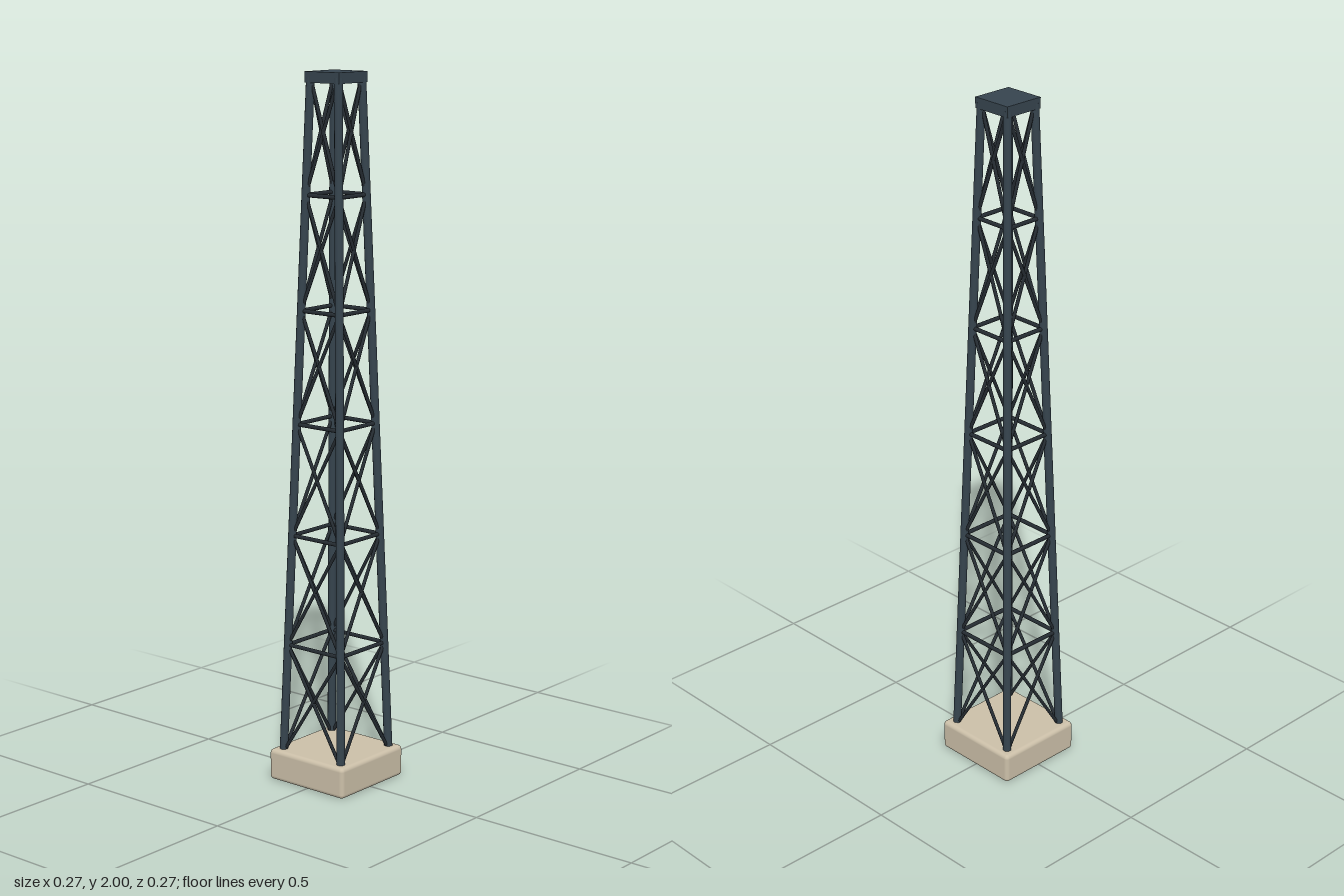
import * as THREE from 'three';
import { RoundedBoxGeometry } from 'three/addons/geometries/RoundedBoxGeometry.js';

const Y0 = 0.08, Y1 = 1.985, BAYS = 6;
const HALF_BOTTOM = 0.106, HALF_TOP = 0.049;

// Cylinder running between two points
function strut(name, a, b, radius, sides, material) {
  const dir = b.clone().sub(a);
  const mesh = new THREE.Mesh(new THREE.CylinderGeometry(radius, radius, dir.length(), sides), material);
  mesh.position.copy(a).add(b).multiplyScalar(0.5);
  mesh.quaternion.setFromUnitVectors(new THREE.Vector3(0, 1, 0), dir.normalize());
  mesh.name = name;
  return mesh;
}

export function createModel() {
  const steel = new THREE.MeshStandardMaterial({ color: 0x36444e });
  steel.name = 'slate steel';
  const darkSteel = new THREE.MeshStandardMaterial({ color: 0x252c32 });
  darkSteel.name = 'dark steel';
  const concrete = new THREE.MeshStandardMaterial({ color: 0xcbbfa8 });
  concrete.name = 'pale concrete';

  const tower = new THREE.Group();
  tower.name = 'latticeTower';

  // Rounded footing
  const base = new THREE.Mesh(new RoundedBoxGeometry(0.272, 0.09, 0.272, 3, 0.012), concrete);
  base.position.y = 0.045;
  base.name = 'base';
  tower.add(base);

  // Flat cap
  const cap = new THREE.Mesh(new THREE.BoxGeometry(0.12, 0.03, 0.12), steel);
  cap.position.y = 1.985;
  cap.name = 'cap';
  tower.add(cap);

  // Point on a corner line at level t (0 bottom, 1 top)
  const corner = (sx, sz, t) => {
    const h = THREE.MathUtils.lerp(HALF_BOTTOM, HALF_TOP, t);
    return new THREE.Vector3(sx * h, THREE.MathUtils.lerp(Y0, Y1, t), sz * h);
  };

  // Four identical sides, each with one leg, girts and crossed braces
  for (let s = 0; s < 4; s++) {
    const side = new THREE.Group();
    side.name = 'side' + (s + 1);
    side.rotation.y = s * Math.PI / 2;
    side.add(strut('leg', corner(1, 1, 0), corner(1, 1, 1), 0.012, 12, steel));
    for (let i = 0; i < BAYS; i++) {
      const lo = i / BAYS, hi = (i + 1) / BAYS;
      side.add(strut('diagonalBrace', corner(-1, 1, lo), corner(1, 1, hi), 0.005, 8, darkSteel));
      side.add(strut('diagonalBrace', corner(1, 1, lo), corner(-1, 1, hi), 0.005, 8, darkSteel));
      if (i > 0) side.add(strut('girt', corner(-1, 1, lo), corner(1, 1, lo), 0.006, 8, darkSteel));
    }
    tower.add(side);
  }
  return tower;
}
